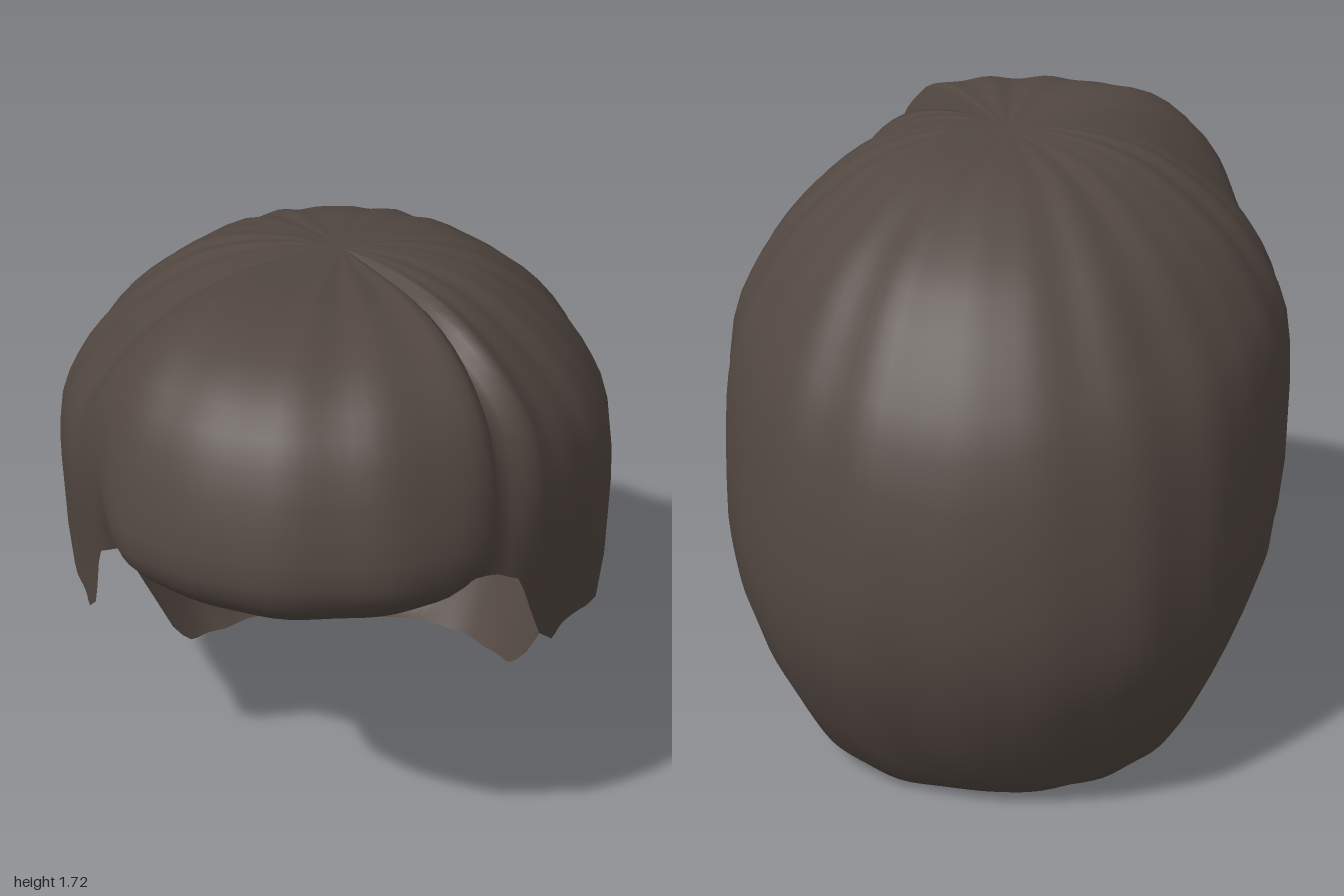
import * as THREE from 'three';

// Meridian profiles from crown to hem: [fraction of outline radius, height]
const FRONT = [[0, 1.69], [.2, 1.705], [.4, 1.72], [.6, 1.705], [.77, 1.645], [.905, 1.525], [.985, 1.33], [1, 1.17], [.91, 1.06], [.85, 1.03], [.8, 1]];
const SIDE = [[0, 1.69], [.22, 1.695], [.45, 1.655], [.625, 1.575], [.785, 1.46], [.905, 1.33], [.985, 1.17], [1, .9], [.965, .55], [.75, .1], [.64, 0]];
const BACK = [[0, 1.69], [.2, 1.675], [.38, 1.645], [.555, 1.555], [.715, 1.435], [.845, 1.255], [.935, 1.08], [.995, .8], [.995, .45], [.8, .07], [.69, 0]];

// Hem height by angle from the front, in degrees
const HEM = [[0, 1.065], [39, 1.05], [45.5, 1], [55, .75], [60, .695], [74.5, .68], [82, .65], [97, .57], [109, .55],
  [114, .46], [118, .3], [120.6, .2], [123, .1], [128, .045], [140, .02], [154, .01], [180, 0]];

const smooth = THREE.MathUtils.smoothstep;
const lerp = THREE.MathUtils.lerp;

function hemHeight(deg) {
  const k = Math.max(1, HEM.findIndex(p => p[0] >= deg));
  const [a, b] = [HEM[k - 1], HEM[k]];
  return lerp(a[1], b[1], (deg - a[0]) / (b[0] - a[0]));
}

// Rounded oval outline, fuller toward the back
function outline(a) {
  const e = lerp(2.25, 2, smooth(Math.cos(a), -.4, .4));
  return (Math.abs(Math.sin(a) / .8) ** e + Math.abs(Math.cos(a)) ** e) ** (-1 / e);
}

function meridian(deg) {
  const f = 1 - smooth(deg, 32, 62), b = smooth(deg, 85, 165);
  return new THREE.SplineCurve(SIDE.map((p, i) => new THREE.Vector2(
    ...[0, 1].map(c => lerp(lerp(p[c], FRONT[i][c], f), BACK[i][c], b)))));
}

// Curve parameter where the meridian reaches the hem
function hemParameter(curve, y) {
  let lo = .5, hi = 1;
  for (let i = 0; i < 20; i++) {
    const mid = (lo + hi) / 2;
    if (curve.getPoint(mid).y > y) lo = mid; else hi = mid;
  }
  return hi;
}

function hairGeometry(columns, rows) {
  const apex = [.02, 1.685, .03];
  const pos = [...apex], index = [];
  for (let j = 0; j < columns; j++) {
    const a = j / columns * Math.PI * 2;
    const signed = a > Math.PI ? a - Math.PI * 2 : a;
    const d = signed * 180 / Math.PI, deg = Math.abs(d);
    const curve = meridian(deg), end = hemParameter(curve, hemHeight(deg));
    // soft locks, one deep parting on the left of the fringe, temples tucked inward
    const lock = .003 * (Math.cos(24 * a) - 1) + .003 * (Math.cos(17 * a + 1) - 1);
    const part = smooth(d, 34, 38.5) * (1 - smooth(d, 39, 49));
    const tuck = smooth(deg, 25, 42) * (1 - smooth(deg, 62, 92));
    for (let i = 1; i <= rows; i++) {
      const t = i / rows, p = curve.getPoint(t * end);
      const fade = smooth(t, 0, .3) * (1 - t ** 6);
      const s = p.x * (1 + lock * smooth(t, .1, .5) - .1 * part * fade - .09 * tuck * smooth(t, .6, 1));
      const y = p.y + (lock * .9 - .1 * part) * fade * (1 - smooth(t, .4, .9));
      const r = outline(a) * s, k = Math.max(0, 1 - s) * (1 - smooth(t, .4, .8));
      pos.push(r * Math.sin(a) + apex[0] * k, y, r * Math.cos(a) + apex[2] * k);
    }
  }
  const at = (i, j) => i === 0 ? 0 : 1 + (j % columns) * rows + i - 1;
  for (let j = 0; j < columns; j++) {
    index.push(0, at(1, j), at(1, j + 1));
    for (let i = 1; i < rows; i++) {
      index.push(at(i, j), at(i + 1, j), at(i + 1, j + 1), at(i, j), at(i + 1, j + 1), at(i, j + 1));
    }
  }
  const g = new THREE.BufferGeometry();
  g.setAttribute('position', new THREE.Float32BufferAttribute(pos, 3));
  g.setIndex(index);
  g.computeVertexNormals();
  return g;
}

export function createModel() {
  const group = new THREE.Group();
  group.name = 'hairpiece';
  const brown = new THREE.MeshStandardMaterial({ color: 0x524741, side: THREE.DoubleSide });
  brown.name = 'dark brown hair';
  const hair = new THREE.Mesh(hairGeometry(144, 20), brown);
  hair.name = 'hairShell';
  group.add(hair);
  return group;
}
